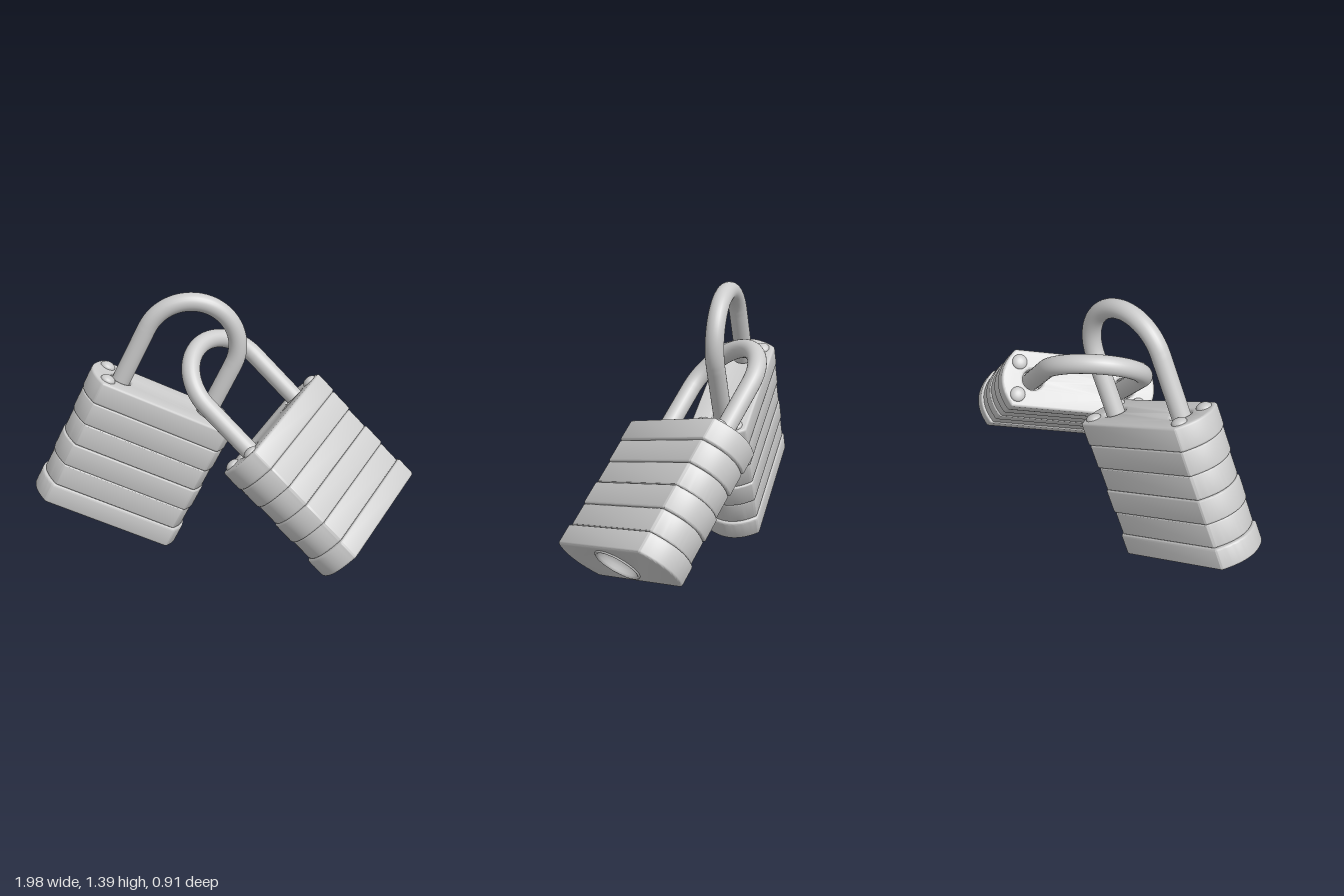
import * as THREE from 'three';
import { toCreasedNormals } from 'three/addons/utils/BufferGeometryUtils.js';

const metal = new THREE.MeshStandardMaterial({ color: 0xcccccc, side: THREE.DoubleSide });
const HEIGHT = 0.735;
const LEG_X = 0.24; // shackle legs either side of the centre

function addMesh(parent, geometry, name, x = 0, y = 0, z = 0) {
  const mesh = new THREE.Mesh(geometry, metal);
  mesh.name = name;
  mesh.position.set(x, y, z);
  parent.add(mesh);
  return mesh;
}

// Plate outline: straight broad sides, bulging ends
function plateShape(insetX, insetZ) {
  const a = 0.345 - insetX, d = 0.147 - insetZ, r = 0.012;
  const bulge = 2 * (0.4 - insetX) - a;
  const s = new THREE.Shape();
  s.moveTo(-a + r, -d);
  s.lineTo(a - r, -d);
  s.quadraticCurveTo(a, -d, a + r * 0.6, -d + r);
  s.quadraticCurveTo(bulge, 0, a + r * 0.6, d - r);
  s.quadraticCurveTo(a, d, a - r, d);
  s.lineTo(-a + r, d);
  s.quadraticCurveTo(-a, d, -a - r * 0.6, d - r);
  s.quadraticCurveTo(-bulge, 0, -a - r * 0.6, -d + r);
  s.quadraticCurveTo(-a, -d, -a + r, -d);
  return s;
}

function circleHole(x, radius) {
  return new THREE.Path().absarc(x, 0, radius, 0, Math.PI * 2, true);
}

// Extrude a plan outline upwards with a soft edge
function extrudeUp(shape, height, bevel) {
  const g = new THREE.ExtrudeGeometry(shape, {
    depth: height - 2 * bevel, curveSegments: 20, bevelEnabled: bevel > 0,
    bevelThickness: bevel, bevelSize: bevel, bevelOffset: -bevel, bevelSegments: 3,
  });
  g.translate(0, 0, bevel);
  g.rotateX(-Math.PI / 2);
  return toCreasedNormals(g, 0.6);
}

function lathe(points, segments) {
  return new THREE.LatheGeometry(points.map(([x, y]) => new THREE.Vector2(x, y)), segments);
}

function buildPadlock(name) {
  const lock = new THREE.Group();
  lock.name = name;

  // Laminated body: bottom cap, four middle plates, top cap
  const bottom = plateShape(0, 0);
  bottom.holes.push(circleHole(0, 0.106));
  addMesh(lock, extrudeUp(bottom, 0.113, 0.012), 'bottomCap');
  for (let i = 0; i < 4; i++) {
    const inset = i % 2 ? 0.006 : 0.012;
    addMesh(lock, extrudeUp(plateShape(inset, inset * 0.5), 0.125, 0.009), 'bodyPlate', 0, 0.113 + i * 0.125);
  }
  const top = plateShape(0.002, 0);
  for (const side of [-1, 1]) top.holes.push(circleHole(side * LEG_X, 0.054));
  addMesh(lock, extrudeUp(top, HEIGHT - 0.613, 0.012), 'topCap', 0, 0.613);

  // Shackle: two legs joined by a half circle
  const path = new THREE.CurvePath();
  const arcY = HEIGHT + 0.3, footY = HEIGHT - 0.13;
  const arcPoints = [];
  for (let i = 0; i <= 24; i++) {
    const t = Math.PI * (1 - i / 24);
    arcPoints.push(new THREE.Vector3(LEG_X * Math.cos(t), arcY + LEG_X * Math.sin(t), 0));
  }
  path.add(new THREE.LineCurve3(new THREE.Vector3(-LEG_X, footY, 0), arcPoints[0]));
  path.add(new THREE.CatmullRomCurve3(arcPoints));
  path.add(new THREE.LineCurve3(arcPoints[24], new THREE.Vector3(LEG_X, footY, 0)));
  addMesh(lock, new THREE.TubeGeometry(path, 90, 0.047, 24), 'shackle');

  // Domed rivets at the corners of the top cap
  const dome = lathe([[0.038, -0.004], [0.038, 0.004], [0.033, 0.012], [0.022, 0.019], [0.01, 0.022], [0, 0.023]], 24);
  for (const x of [-0.316, 0.316])
    for (const z of [-0.083, 0.083]) addMesh(lock, dome, 'rivet', x, HEIGHT, z);

  // Keyhole: raised rim, dished bowl and slotted plug
  const rim = lathe([[0.121, 0.004], [0.12, -0.005], [0.115, -0.008], [0.109, -0.006], [0.105, 0.004],
    [0.1, 0.022], [0.09, 0.04], [0.075, 0.052]], 40);
  addMesh(lock, rim, 'keyholeRim');
  const plug = new THREE.Shape().absarc(0, 0, 0.082, 0, Math.PI * 2, false);
  const slot = [[-0.066, -0.012], [-0.03, -0.018], [-0.01, -0.004], [0.02, -0.016], [0.066, -0.01],
    [0.066, 0.01], [0.03, 0.014], [0.01, 0.008], [-0.02, 0.016], [-0.066, 0.012]];
  plug.holes.push(new THREE.Path(slot.map(([x, y]) => new THREE.Vector2(x, y))));
  addMesh(lock, extrudeUp(plug, 0.045, 0), 'keyPlug', 0, 0.051);
  return lock;
}

export function createModel() {
  const model = new THREE.Group();
  model.name = 'linkedPadlocks';

  // Upright lock leaning sideways
  const leaning = buildPadlock('leaningPadlock');
  leaning.position.set(-0.64, 0.187, -0.178);
  leaning.rotation.z = -0.461;
  model.add(leaning);

  // Second lock tilted back, its shackle hooked through the first
  const hooked = buildPadlock('hookedPadlock');
  const up = new THREE.Vector3(-0.667, 0.688, -0.286).normalize();
  const depth = new THREE.Vector3().crossVectors(new THREE.Vector3(0.57, 0.23, -0.79), up).normalize();
  const across = new THREE.Vector3().crossVectors(up, depth);
  hooked.quaternion.setFromRotationMatrix(new THREE.Matrix4().makeBasis(across, up, depth));
  hooked.position.set(0.72, 0.2, 0.1);
  model.add(hooked);
  return model;
}
